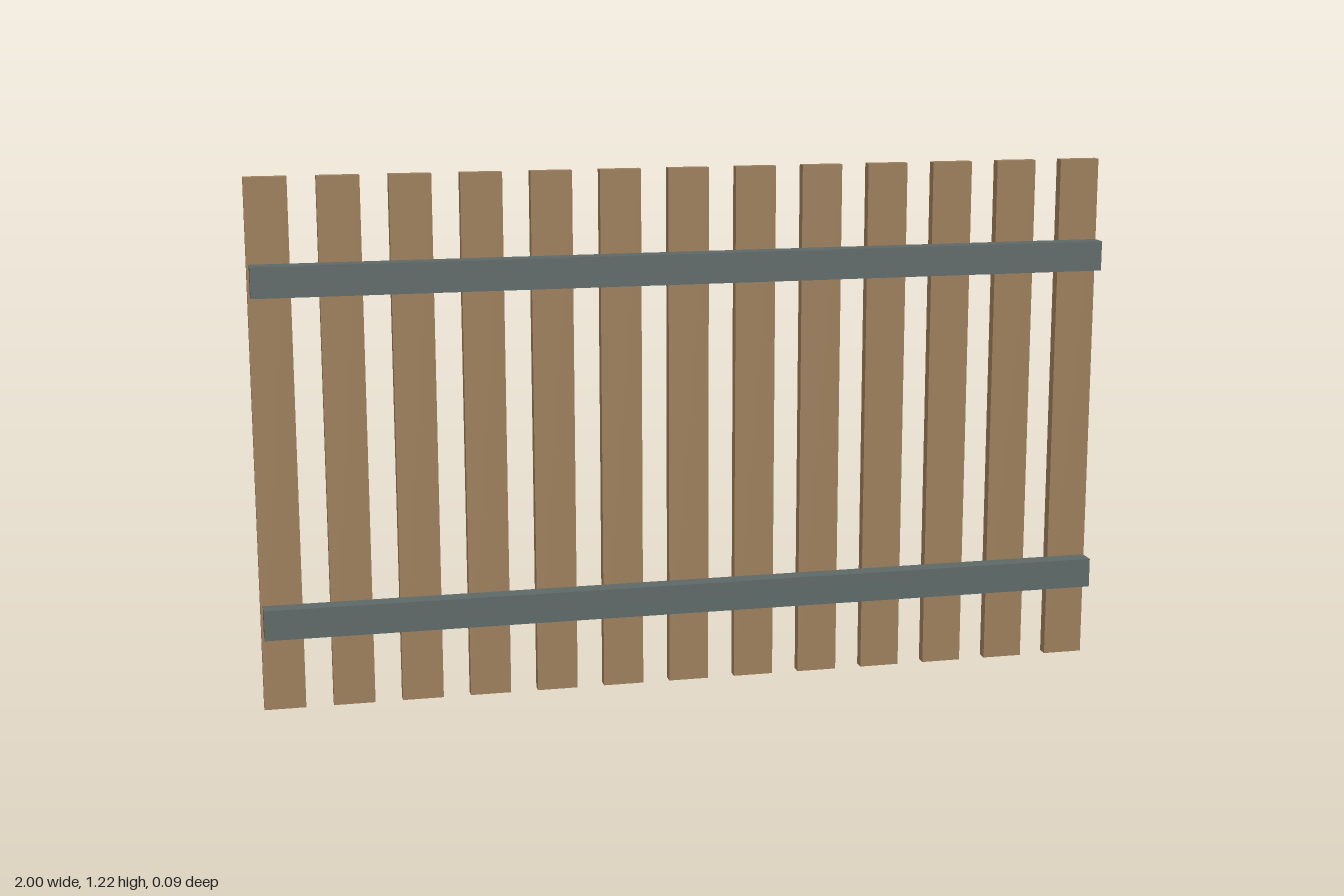
import * as THREE from 'three';

export function createModel() {
  const fence = new THREE.Group();
  fence.name = 'picketFence';

  const wood = new THREE.MeshStandardMaterial({ color: 0x9b7d5a });
  wood.name = 'brown wood';
  const rail = new THREE.MeshStandardMaterial({ color: 0x5d6866 });
  rail.name = 'grey rail';
  const steel = new THREE.MeshStandardMaterial({ color: 0x3a3632 });
  steel.name = 'dark nail';

  const add = (name, geometry, material, x, y, z) => {
    const mesh = new THREE.Mesh(geometry, material);
    mesh.name = name;
    mesh.position.set(x, y, z);
    fence.add(mesh);
  };

  const count = 13, width = 0.095, height = 1.222;
  const spacing = (2 - width) / (count - 1);
  const railHeights = [0.217, 0.997];

  const picketGeometry = new THREE.BoxGeometry(width, height, 0.026);
  const railGeometry = new THREE.BoxGeometry(1.988, 0.07, 0.043);
  const nailGeometry = new THREE.CylinderGeometry(0.005, 0.005, 0.008, 10);
  nailGeometry.rotateX(Math.PI / 2);

  // Two horizontal rails, standing slightly clear of the pickets
  for (const y of railHeights) add('rail', railGeometry, rail, -0.001, y, 0.0215);

  // Evenly spaced pickets, each with a nail head behind every rail
  for (let i = 0; i < count; i++) {
    const x = -1 + width / 2 + i * spacing;
    add('picket', picketGeometry, wood, x, height / 2, -0.026);
    for (const y of railHeights) add('nailHead', nailGeometry, steel, x, y, -0.039);
  }
  return fence;
}
